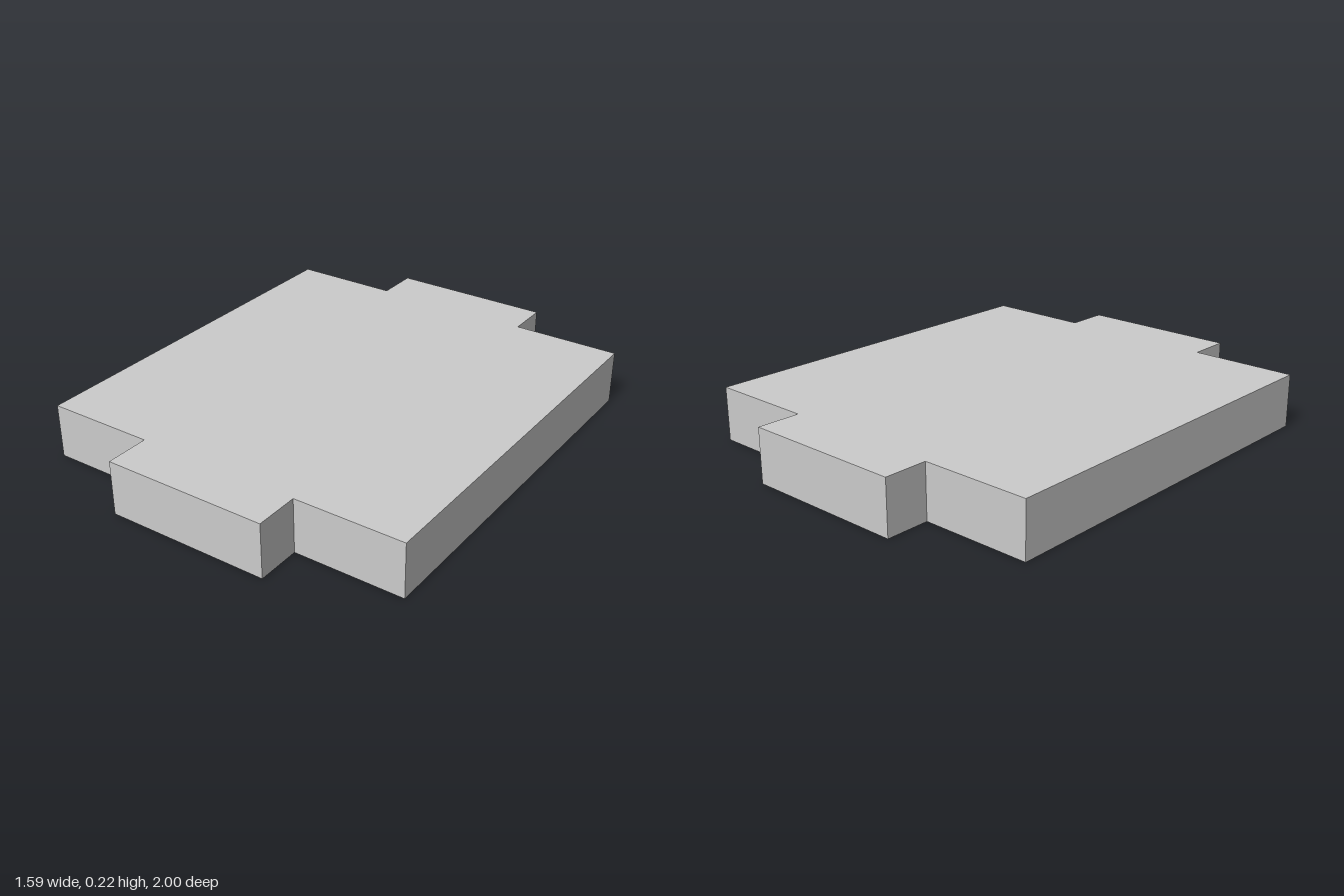
import * as THREE from 'three';

// Flat slab with a centred tab on its front and back edges
export function createModel() {
  const height = 0.225;
  const bodyX = 0.794, bodyZ = 0.818; // half sizes of the main slab
  const tabX = 0.341, tabZ = 1; // half width of the tabs, and their reach

  // One quarter of the outline, turned and mirrored into the full plan
  const half = [[bodyX, -bodyZ], [bodyX, bodyZ], [tabX, bodyZ], [tabX, tabZ]];
  const outline = [
    [tabX, -tabZ], [tabX, -bodyZ],
    ...half,
    ...[[tabX, -tabZ], [tabX, -bodyZ], ...half].map(([x, z]) => [-x, -z]),
  ];
  const shape = new THREE.Shape(outline.map(([x, z]) => new THREE.Vector2(x, z)));

  // Extrude the plan and lay it flat on the ground
  const geometry = new THREE.ExtrudeGeometry(shape, { depth: height, bevelEnabled: false });
  geometry.rotateX(-Math.PI / 2);

  const slab = new THREE.Mesh(
    geometry,
    new THREE.MeshStandardMaterial({ color: 0xcccccc, flatShading: true })
  );
  slab.name = 'tabbedSlab';

  const group = new THREE.Group();
  group.name = 'floorSlab';
  group.add(slab);
  return group;
}
